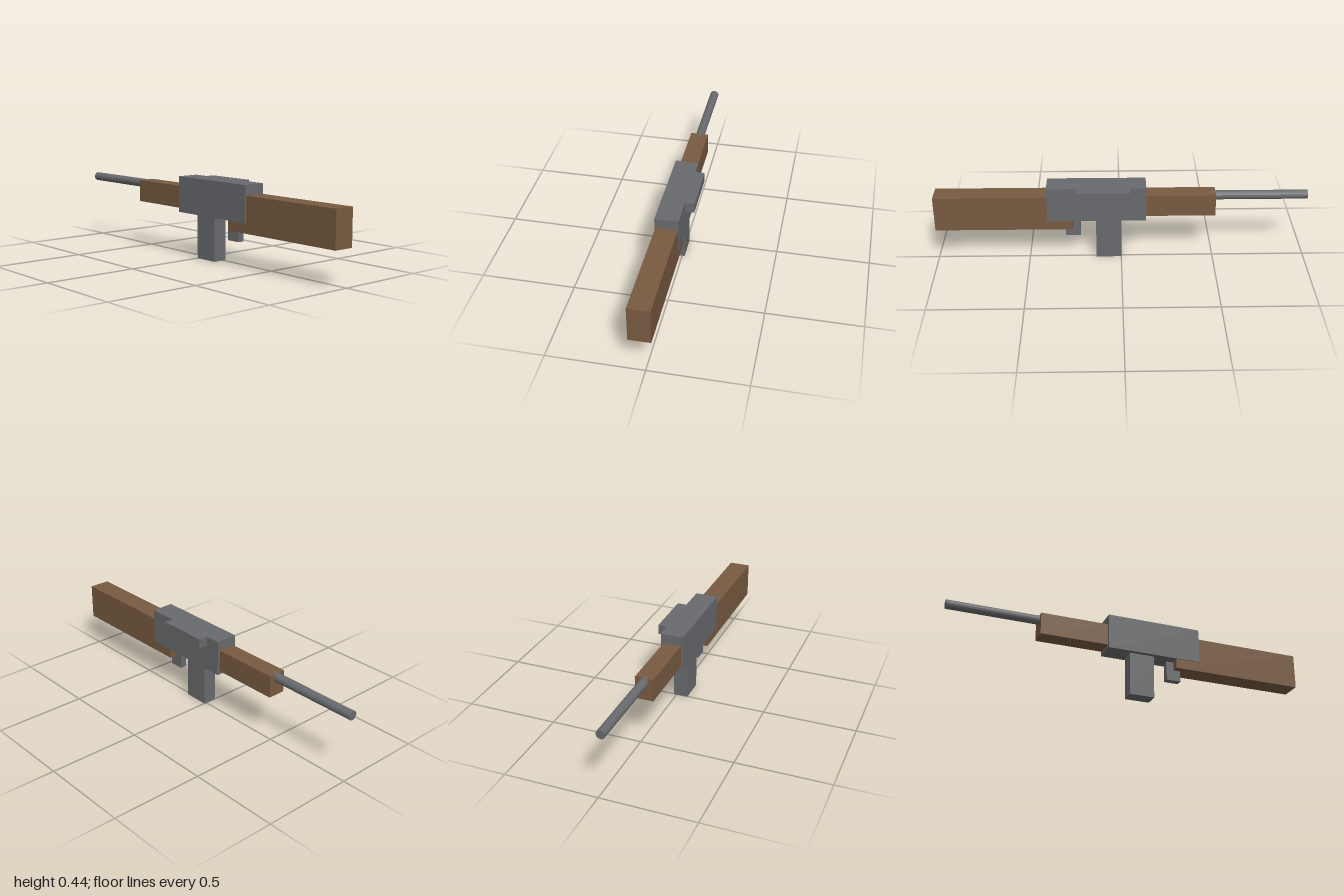
import * as THREE from 'three';

export function createModel() {
  const model = new THREE.Group();
  const metal = new THREE.MeshStandardMaterial({ color: 0x686a6d });
  metal.name = 'gunmetal';
  metal.flatShading = true;
  const wood = new THREE.MeshStandardMaterial({ color: 0x785a40 });
  wood.name = 'walnut';

  // Box given by its extents on each axis
  function block(name, material, [x0, x1], [y0, y1], [z0, z1]) {
    const mesh = new THREE.Mesh(new THREE.BoxGeometry(x1 - x0, y1 - y0, z1 - z0), material);
    mesh.position.set((x0 + x1) / 2, (y0 + y1) / 2, (z0 + z1) / 2);
    mesh.name = name;
    model.add(mesh);
  }

  // Wooden furniture
  block('stock', wood, [-0.082, 0.032], [0.187, 0.381], [0.262, 1]);
  block('foreEnd', wood, [-0.075, 0.022], [0.26, 0.381], [-0.505, -0.12]);

  // Metal body
  block('receiver', metal, [-0.087, 0.036], [0.24, 0.435], [-0.132, 0.397]);
  block('sideBolt', metal, [0.03, 0.086], [0.382, 0.435], [-0.045, 0.238]);
  block('magazine', metal, [-0.064, 0.014], [0, 0.25], [-0.002, 0.136]);
  block('trigger', metal, [-0.043, -0.007], [0.126, 0.234], [0.22, 0.3]);

  // Barrel
  const barrel = new THREE.Mesh(new THREE.CylinderGeometry(0.0245, 0.0245, 0.52, 16), metal);
  barrel.name = 'barrel';
  barrel.rotation.x = Math.PI / 2;
  barrel.position.set(-0.027, 0.359, -0.74);
  model.add(barrel);

  return model;
}
